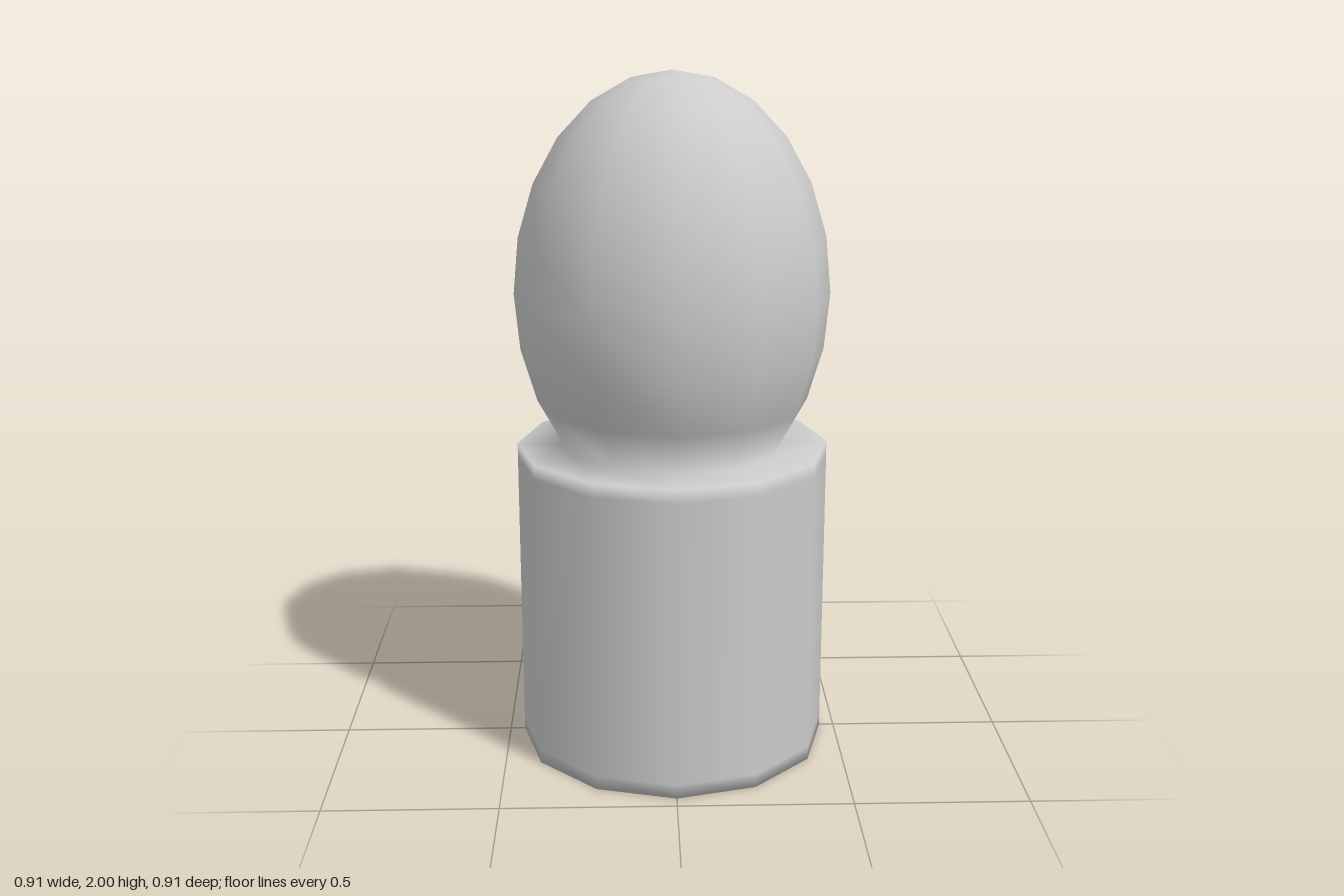
import * as THREE from 'three';

const RADIUS = 0.457;     // shared by the base and the egg
const BASE_TOP = 0.92;
const EGG_CENTRE = 1.367;
const EGG_HALF = 0.633;

export function createModel() {
  const group = new THREE.Group();
  group.name = 'pegFigure';

  // Cylindrical base: bottom centre, rim, support rings, top rim
  const profile = [
    [0, 0],
    [RADIUS, 0],
    [RADIUS, 0.04],
    [RADIUS, BASE_TOP - 0.04],
    [RADIUS, BASE_TOP],
  ].map(([r, y]) => new THREE.Vector2(r, y));

  // Egg-shaped head: ellipsoid arc from the neck (135 degrees) up to the pole
  for (let i = 9; i >= 0; i--) {
    const a = THREE.MathUtils.degToRad(i * 15);
    profile.push(new THREE.Vector2(RADIUS * Math.sin(a), EGG_CENTRE + EGG_HALF * Math.cos(a)));
  }

  // One smooth twelve-sided turned body
  const body = new THREE.Mesh(
    new THREE.LatheGeometry(profile, 12),
    new THREE.MeshStandardMaterial({ color: 0xcccccc })
  );
  body.name = 'baseAndHead';
  group.add(body);
  return group;
}
